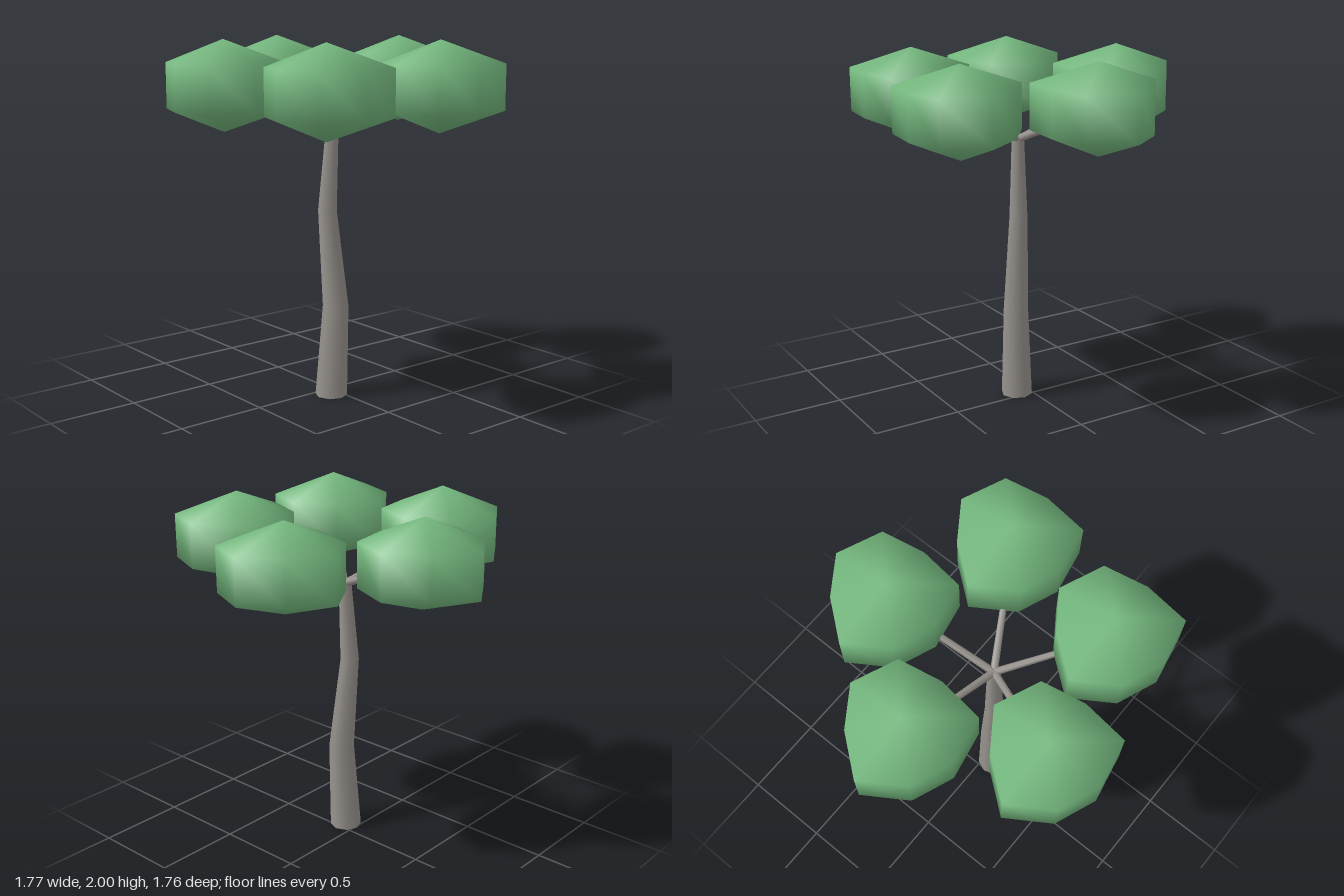
import * as THREE from 'three';
import { mergeVertices } from 'three/addons/utils/BufferGeometryUtils.js';

const bark = new THREE.MeshStandardMaterial({ color: 0x99948f });
const leaf = new THREE.MeshStandardMaterial({ color: 0x74b87e });

// Trunk rings from bottom to top: x, y, z, radius
const RINGS = [
  [-0.055, 0, 0.077, 0.09],
  [-0.036, 0.52, 0.092, 0.072],
  [-0.065, 1.06, 0.055, 0.052],
  [-0.043, 1.52, 0.07, 0.035],
];

// Leaf clump centres: x, z
const CLUMPS = [[0.03, -0.53], [0.55, -0.05], [0.26, 0.59], [-0.44, 0.51], [-0.58, -0.18]];
const CLUMP_Y = 1.755;

// Clump outline radius every 45 degrees, from +x towards +z
const OUTLINE = [0.34, 0.34, 0.285, 0.36, 0.305, 0.31, 0.36, 0.285];

// Bent, tapering trunk: each cylinder row is moved onto its ring
function trunkGeometry() {
  const rows = RINGS.length - 1;
  const g = new THREE.CylinderGeometry(1, 1, 1, 8, rows);
  const p = g.attributes.position;
  for (let i = 0; i < p.count; i++) {
    const [x, y, z, r] = RINGS[Math.round((p.getY(i) + 0.5) * rows)];
    p.setXYZ(i, x + p.getX(i) * r, y, z + p.getZ(i) * r);
  }
  return g;
}

// Uneven eight-sided clump with two rings and pointed top and bottom
function clumpGeometry() {
  let g = new THREE.SphereGeometry(1, 8, 3);
  g.deleteAttribute('normal');
  g.deleteAttribute('uv');
  g = mergeVertices(g, 1e-4);
  const p = g.attributes.position;
  for (let i = 0; i < p.count; i++) {
    const x = p.getX(i), z = p.getZ(i), flat = Math.hypot(x, z);
    const k = (Math.round(Math.atan2(z, x) / (Math.PI / 4)) + 8) % 8;
    const s = flat < 0.01 ? 0 : OUTLINE[k] / flat;
    p.setXYZ(i, x * s, p.getY(i) * 0.245, z * s);
  }
  g.computeVertexNormals();
  return g;
}

// Straight tapering branch between two points
function branch(from, to) {
  const dir = to.clone().sub(from);
  const mesh = new THREE.Mesh(new THREE.CylinderGeometry(0.014, 0.021, dir.length(), 6), bark);
  mesh.position.copy(from).addScaledVector(dir, 0.5);
  mesh.quaternion.setFromUnitVectors(new THREE.Vector3(0, 1, 0), dir.normalize());
  mesh.name = 'branch';
  return mesh;
}

export function createModel() {
  const tree = new THREE.Group();
  tree.name = 'tree';

  const trunk = new THREE.Mesh(trunkGeometry(), bark);
  trunk.name = 'trunk';
  tree.add(trunk);

  // One branch and one leaf clump per direction
  const fork = new THREE.Vector3(-0.043, 1.51, 0.07);
  const clumpShape = clumpGeometry();
  for (const [x, z] of CLUMPS) {
    const centre = new THREE.Vector3(x, CLUMP_Y, z);
    tree.add(branch(fork, centre));
    const clump = new THREE.Mesh(clumpShape, leaf);
    clump.position.copy(centre);
    clump.name = 'leafClump';
    tree.add(clump);
  }
  return tree;
}
